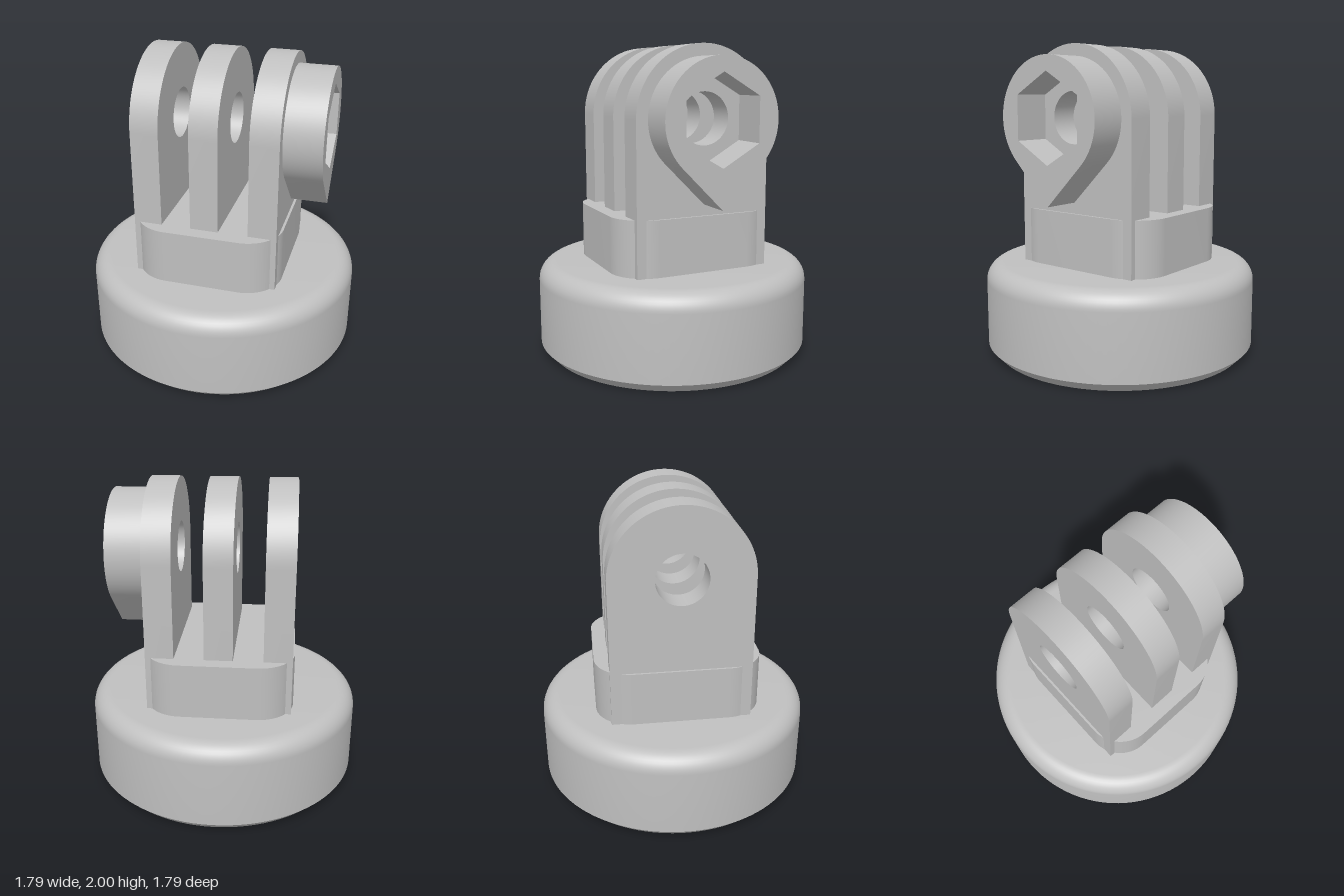
import * as THREE from 'three';
import { toCreasedNormals } from 'three/addons/utils/BufferGeometryUtils.js';

const BASE_TOP = 0.6;
const PIVOT_Y = 1.553;

export function createModel() {
  const group = new THREE.Group();
  const grey = new THREE.MeshStandardMaterial({ color: 0xbfbfbf });
  grey.name = 'light grey plastic';

  const add = (name, geometry) => {
    const mesh = new THREE.Mesh(toCreasedNormals(geometry, 0.5), grey);
    mesh.name = name;
    group.add(mesh);
  };
  const extrude = (shape, depth) =>
    new THREE.ExtrudeGeometry(shape, { depth, bevelEnabled: false, curveSegments: 32 });

  // Round base: threaded socket underneath, chamfered foot, filleted shoulder
  const R = 0.893, fillet = 0.115;
  const profile = [
    [0, 0.42], [0.15, 0.42], [0.15, 0.13], [0.165, 0.13], [0.165, 0.055],
    [0.22, 0], [0.835, 0], [R, 0.06],
  ];
  for (let i = 0; i <= 10; i++) {
    const a = (i / 10) * Math.PI / 2;
    profile.push([R - fillet + fillet * Math.cos(a), BASE_TOP - fillet + fillet * Math.sin(a)]);
  }
  profile.push([0, BASE_TOP]);
  add('base', new THREE.LatheGeometry(profile.map(([x, y]) => new THREE.Vector2(x, y)), 96));

  // Rounded block joining the fingers to the base
  const hx = 0.475, hz = 0.537, r = 0.236;
  const plinth = new THREE.Shape();
  plinth.absarc(hx - r, hz - r, r, 0, Math.PI / 2);
  plinth.absarc(r - hx, hz - r, r, Math.PI / 2, Math.PI);
  plinth.absarc(r - hx, r - hz, r, Math.PI, Math.PI * 1.5);
  plinth.absarc(hx - r, r - hz, r, Math.PI * 1.5, Math.PI * 2);
  plinth.closePath();
  add('block', extrude(plinth, 0.357).rotateX(-Math.PI / 2).translate(-0.002, BASE_TOP, 0));

  // Three round-topped fingers with a shared pivot hole
  const fingerR = 0.447;
  const finger = new THREE.Shape();
  finger.moveTo(-fingerR, BASE_TOP);
  finger.lineTo(fingerR, BASE_TOP);
  finger.lineTo(fingerR, PIVOT_Y);
  finger.absarc(0, PIVOT_Y, fingerR, 0, Math.PI);
  finger.closePath();
  finger.holes.push(new THREE.Path().absarc(0, PIVOT_Y, 0.163, 0, Math.PI * 2, true));
  [['right', -0.463], ['middle', -0.093], ['left', 0.277]].forEach(([side, x]) => {
    add(side + 'Finger', extrude(finger, 0.18).rotateY(Math.PI / 2).translate(x, 0, 0));
  });

  // Teardrop nut holder with a hexagonal pocket
  const bossR = 0.372;
  const boss = new THREE.Shape();
  boss.absarc(0, PIVOT_Y, bossR, -Math.PI / 4, Math.PI * 1.25);
  boss.lineTo(0, PIVOT_Y - bossR * Math.SQRT2);
  boss.closePath();
  const hexagon = [];
  for (let i = 0; i < 6; i++) {
    const a = Math.PI / 2 - i * Math.PI / 3;
    hexagon.push(new THREE.Vector2(0.278 * Math.cos(a), PIVOT_Y + 0.278 * Math.sin(a)));
  }
  boss.holes.push(new THREE.Path(hexagon));
  add('nutHolder', extrude(boss, 0.238).rotateY(Math.PI / 2).translate(0.457, 0, 0));

  return group;
}
